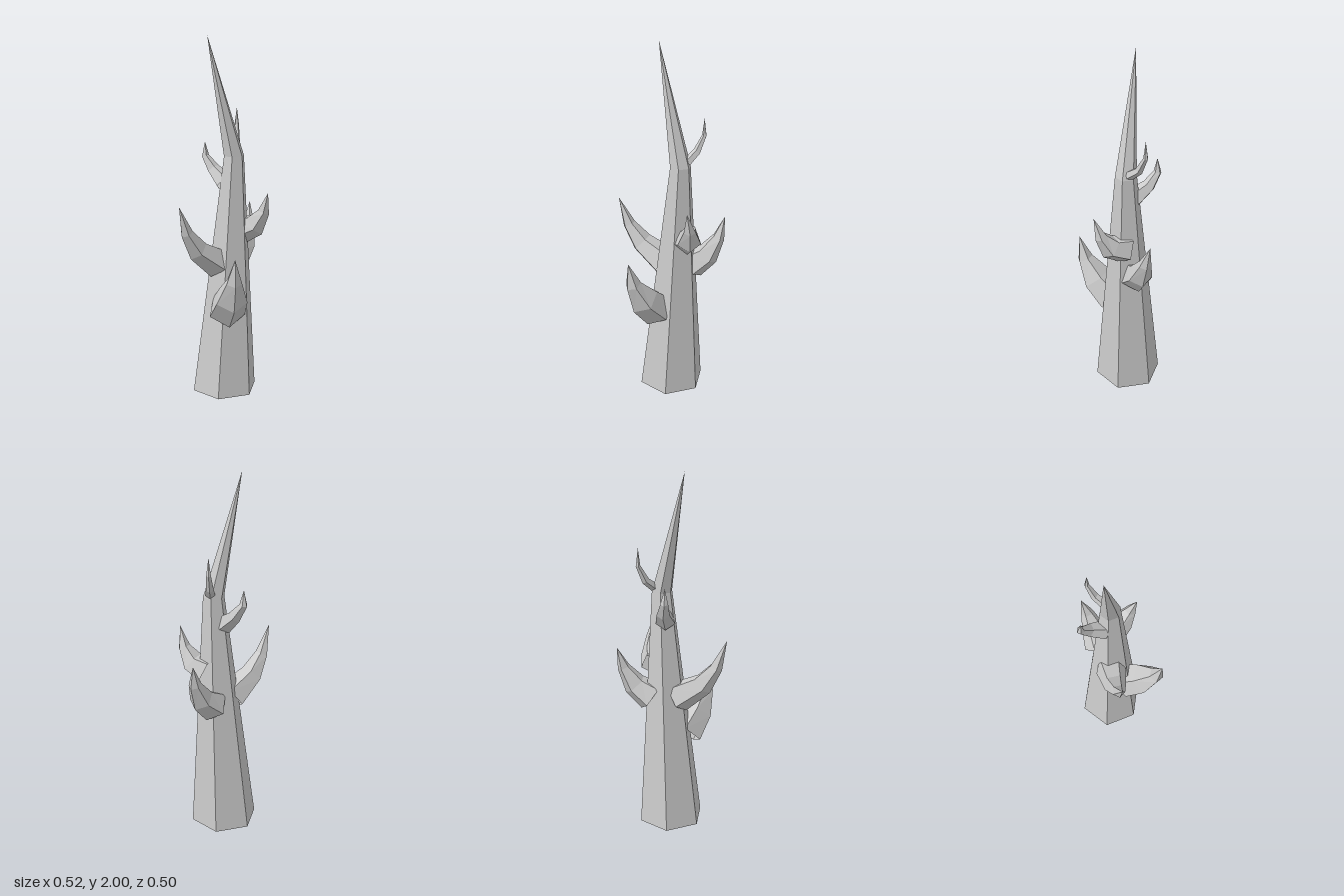
import * as THREE from 'three';

const material = new THREE.MeshStandardMaterial({
  color: 0xcccccc, flatShading: true, side: THREE.DoubleSide,
});

// Skin a list of equally sized rings, ending in a point
function skin(name, rings, tip) {
  const pos = [];
  const tri = (...pts) => pts.forEach((p) => pos.push(p.x, p.y, p.z));
  rings.forEach((ring, i) => {
    const next = rings[i + 1];
    ring.forEach((a, j) => {
      const k = (j + 1) % ring.length;
      if (next) {
        tri(a, ring[k], next[k]);
        tri(a, next[k], next[j]);
      } else tri(a, ring[k], tip);
    });
  });
  const geometry = new THREE.BufferGeometry();
  geometry.setAttribute('position', new THREE.Float32BufferAttribute(pos, 3));
  geometry.computeVertexNormals();
  const mesh = new THREE.Mesh(geometry, material);
  mesh.name = name;
  return mesh;
}

// Level six-sided ring of the trunk, corners on the x axis
function trunkRing(x, y, z, r) {
  return Array.from({ length: 6 }, (_, i) => {
    const a = -i * Math.PI / 3;
    return new THREE.Vector3(x + r * Math.cos(a), y, z + r * Math.sin(a));
  });
}

// Curved five-sided thorn along [x, y, z, radius] stations, with a keel below
function thorn(name, stations, tipPoint) {
  const tip = new THREE.Vector3(...tipPoint);
  const centres = stations.map(([x, y, z]) => new THREE.Vector3(x, y, z));
  const path = [...centres, tip];
  // The sideways axis stays level for the whole thorn
  const out = centres[centres.length - 1].clone().sub(centres[0]).setY(0).normalize();
  const side = new THREE.Vector3(0, 1, 0).cross(out);
  const rings = centres.map((c, i) => {
    const dir = path[i + 1].clone().sub(path[Math.max(i - 1, 0)]).normalize();
    const up = dir.clone().cross(side).normalize();
    return Array.from({ length: 5 }, (_, j) => {
      const a = -Math.PI / 2 + j * Math.PI * 2 / 5;
      return c.clone()
        .addScaledVector(side, stations[i][3] * Math.cos(a))
        .addScaledVector(up, stations[i][3] * Math.sin(a));
    });
  });
  return skin(name, rings, tip);
}

export function createModel() {
  const group = new THREE.Group();
  group.name = 'thornyTrunk';

  // Tapering trunk, open below, bending into a leaning spike
  group.add(skin('trunk', [
    trunkRing(0.033, 0, -0.06, 0.186),
    trunkRing(0.087, 1.35, -0.06, 0.058),
  ], new THREE.Vector3(-0.065, 2, -0.06)));

  // Thorns from the lowest to the highest
  group.add(
    thorn('frontThorn', [
      [0.01, 0.5, 0.04, 0.105], [0.0, 0.6, 0.145, 0.09], [-0.01, 0.715, 0.215, 0.045],
    ], [-0.015, 0.85, 0.247]),
    thorn('rightThorn', [
      [-0.01, 0.755, -0.05, 0.09], [-0.145, 0.85, -0.005, 0.063], [-0.213, 0.955, 0.025, 0.036],
    ], [-0.262, 1.11, 0.053]),
    thorn('backLeftThorn', [
      [0.115, 0.755, -0.13, 0.09], [0.19, 0.82, -0.175, 0.068], [0.235, 0.925, -0.215, 0.035],
    ], [0.252, 1.045, -0.248]),
    thorn('frontLeftThorn', [
      [0.125, 0.93, -0.07, 0.085], [0.195, 0.965, -0.01, 0.066], [0.23, 1.045, 0.03, 0.034],
    ], [0.24, 1.155, 0.065]),
    thorn('backThorn', [
      [0.04, 1.2, -0.09, 0.055], [0.0, 1.265, -0.16, 0.037], [-0.035, 1.335, -0.195, 0.022],
    ], [-0.037, 1.415, -0.192]),
    thorn('topThorn', [
      [0.11, 1.37, -0.085, 0.027], [0.13, 1.42, -0.145, 0.022], [0.147, 1.505, -0.184, 0.013],
    ], [0.147, 1.6, -0.182]),
  );
  return group;
}
